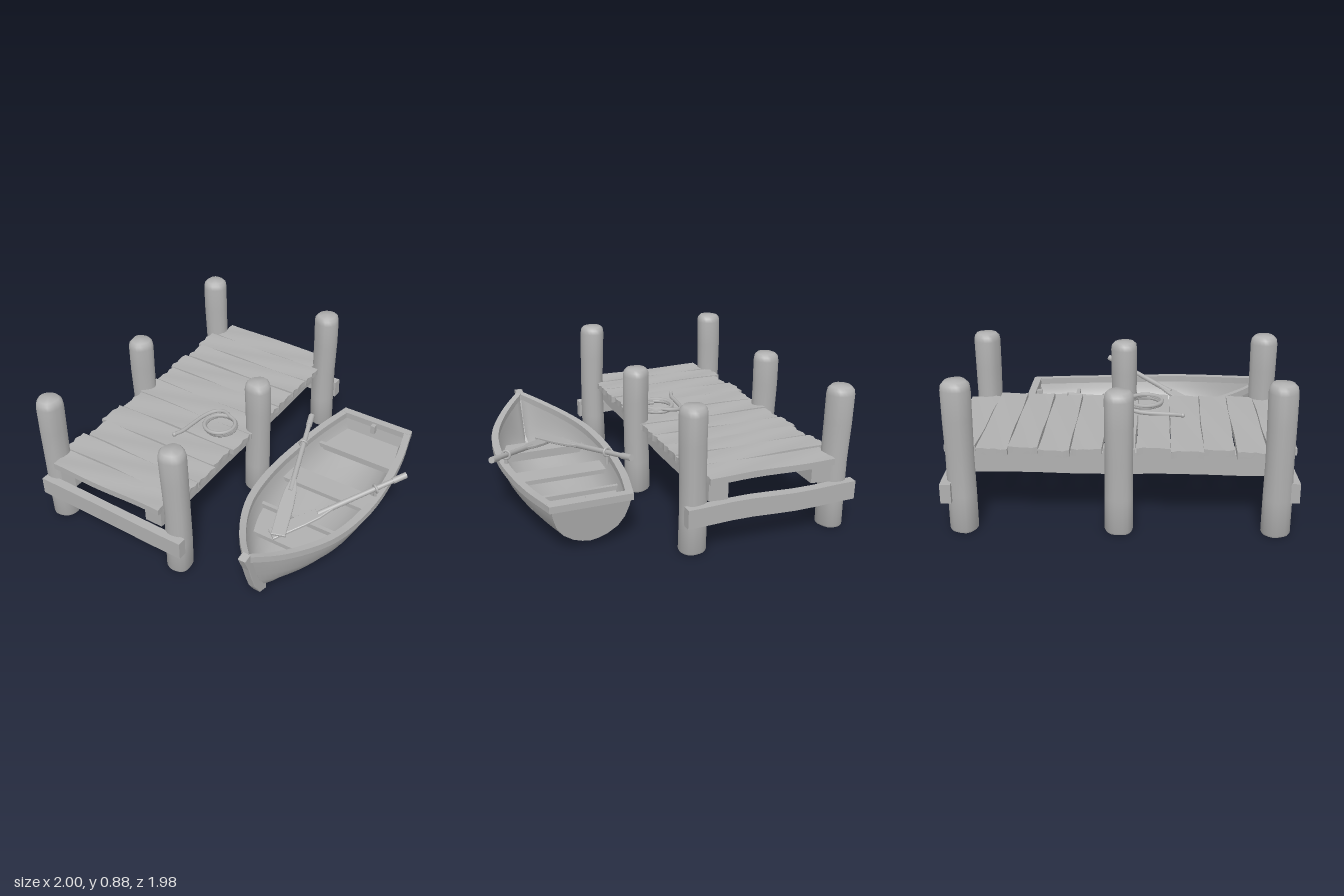
import * as THREE from 'three';
import { toCreasedNormals } from 'three/addons/utils/BufferGeometryUtils.js';

export function createModel() {
  const model = new THREE.Group();
  const grey = new THREE.MeshStandardMaterial({ color: 0xb0b0b0 });
  grey.name = 'weathered grey';

  const add = (parent, name, geo, x = 0, y = 0, z = 0) => {
    const m = new THREE.Mesh(geo, grey);
    m.name = name;
    m.position.set(x, y, z);
    parent.add(m);
    return m;
  };
  const group = (name) => {
    const g = new THREE.Group();
    g.name = name;
    model.add(g);
    return g;
  };
  let seed = 7;
  const rand = (a) => {
    seed = (seed * 16807) % 2147483647;
    return (seed / 2147483647 - 0.5) * 2 * a;
  };
  // Moves every vertex by a rule
  const warp = (geo, rule) => {
    const p = geo.attributes.position, v = new THREE.Vector3();
    for (let i = 0; i < p.count; i++) {
      rule(v.fromBufferAttribute(p, i));
      p.setXYZ(i, v.x, v.y, v.z);
    }
    geo.computeVertexNormals();
    return geo;
  };
  // Skins a row of closed cross-sections
  const loft = (rows, crease) => {
    const n = rows[0].length, index = [];
    for (let i = 0; i < rows.length - 1; i++) for (let j = 0; j < n; j++) {
      const a = i * n + j, b = i * n + (j + 1) % n;
      index.push(a, b, b + n, a, b + n, a + n);
    }
    const g = new THREE.BufferGeometry();
    g.setAttribute('position', new THREE.Float32BufferAttribute(rows.flat(2), 3));
    g.setIndex(index);
    return toCreasedNormals(g, crease);
  };

  // ---- Dock ----
  const dock = group('dock');

  // Round posts, slightly uneven
  const makePost = (x, z, h, phase) => {
    const prof = [[0, 0], [0.074, 0], [0.08, 0.012], [0.08, h * 0.25], [0.077, h * 0.5], [0.08, h * 0.75],
      [0.081, h - 0.05], [0.076, h - 0.02], [0.06, h - 0.003], [0, h]].map(([r, y]) => new THREE.Vector2(r, y));
    const geo = warp(new THREE.LatheGeometry(prof, 20), (v) => {
      const a = Math.atan2(v.z, v.x);
      const k = 1 + 0.035 * Math.sin(3 * a + phase + v.y * 2) + 0.025 * Math.sin(5 * a + phase * 2);
      v.x = v.x * k + 0.005 * Math.sin(v.y * 6 + phase);
      v.z *= k;
    });
    add(dock, 'post', toCreasedNormals(geo, 0.9), x, 0, z);
  };
  [[-0.87, 0.88], [0, 0.83], [0.87, 0.88]].forEach(([z, h], i) => {
    makePost(-0.905, z, h, i);
    makePost(0.012, z, h, i + 3.5);
  });

  // Deck planks with ragged ends and wavy edges
  const cuts = [-0.975, -0.79, -0.615, -0.445, -0.268, -0.088, 0.092, 0.282, 0.465, 0.642, 0.812, 0.975];
  for (let i = 0; i < cuts.length - 1; i++) {
    const outer = i === 0 || i === cuts.length - 2;
    const x0 = outer ? -0.84 : -0.88 + rand(0.025), x1 = outer ? -0.05 : 0 + rand(0.015);
    const d = cuts[i + 1] - cuts[i] - 0.006, ph = rand(3), skew = rand(0.006);
    const geo = warp(new THREE.BoxGeometry(x1 - x0, 0.04, d, 16, 1, 5), (v) => {
      const s = v.x / (x1 - x0), t = v.z / d;
      if (Math.abs(s) > 0.49) v.x += 0.007 * Math.sin(t * 13 + ph);
      v.z += skew * s * 2 + 0.004 * t * Math.sin(s * 9 + ph);
      v.y += 0.003 * Math.sin(s * 7 + t * 5 + ph);
    });
    add(dock, 'plank', geo, (x0 + x1) / 2, 0.456 + rand(0.004), (cuts[i] + cuts[i + 1]) / 2);
  }

  // Long beams below the deck and cross beams at both ends
  const beam = (name, w, h, d, x, y, z) => add(dock, name, warp(new THREE.BoxGeometry(w, h, d, 8, 2, 8), (v) => {
    v.y += 0.004 * Math.sin(v.x * 9 + v.z * 7);
    v.z += 0.004 * Math.sin(v.x * 8);
  }), x, y, z);
  beam('sideBeam', 0.12, 0.125, 1.86, -0.78, 0.377, 0);
  beam('sideBeam', 0.12, 0.125, 1.86, -0.12, 0.377, 0);
  beam('frontCrossBeam', 1.05, 0.115, 0.055, -0.425, 0.25, 0.958).rotation.z = -0.012;
  beam('backCrossBeam', 1.08, 0.115, 0.06, -0.455, 0.25, -0.95).rotation.z = 0.012;

  // Coiled rope with a loose tail
  const rope = [];
  for (let i = 0; i <= 60; i++) {
    const a = -i / 60 * Math.PI * 6 + Math.PI / 2, r = 0.098 + 0.014 * Math.sin(i * 0.33);
    rope.push(new THREE.Vector3(-0.2 + r * Math.cos(a), 0.49 + i * 0.0005, 0.13 + r * Math.sin(a)));
  }
  [[-0.24, 0.51, 0.012], [-0.3, 0.5, 0.03], [-0.34, 0.49, 0.1], [-0.355, 0.487, 0.2], [-0.365, 0.487, 0.3], [-0.385, 0.49, 0.36]]
    .forEach((p) => rope.push(new THREE.Vector3(...p)));
  rope.splice(50, 11);
  add(dock, 'rope', new THREE.TubeGeometry(new THREE.CatmullRomCurve3(rope), 180, 0.013, 7));
  add(dock, 'ropeEnd', new THREE.SphereGeometry(0.015, 8, 6), -0.385, 0.49, 0.36);

  // ---- Rowing boat ----
  const boat = group('boat');
  boat.position.x = 0.54;

  // Stations: z at rim, z at keel, half width, keel height, rim height
  const stations = [[-0.68, -0.63, 0.24, 0.04, 0.31], [-0.4, -0.38, 0.305, 0.02, 0.3], [-0.1, -0.1, 0.342, 0.012, 0.296],
    [0.15, 0.15, 0.348, 0.01, 0.302], [0.4, 0.4, 0.318, 0.015, 0.316], [0.6, 0.58, 0.25, 0.03, 0.336],
    [0.8, 0.74, 0.135, 0.045, 0.37], [0.95, 0.83, 0.012, 0.06, 0.41]];
  const curve = (f) => new THREE.CatmullRomCurve3(stations.map(f), false, 'catmullrom');
  const rimCurve = curve((s) => new THREE.Vector3(s[2], s[4], s[0]));
  const keelCurve = curve((s) => new THREE.Vector3(0, s[3], s[1]));
  const side = [[0, 0], [0.2, 0.03], [0.42, 0.1], [0.68, 0.26], [0.85, 0.48], [0.95, 0.75], [1, 1]];
  const profile = [...side.slice(1).reverse().map(([x, y]) => [-x, y]), ...side];

  const hullRows = [], rimRows = [[], []];
  for (let i = 0; i <= 32; i++) {
    const r = rimCurve.getPoint(i / 32), k = keelCurve.getPoint(i / 32);
    const section = (inset) => profile.map(([x, f]) => {
      const y0 = k.y + inset, w = Math.max(r.x - inset, 0.001);
      return [x * w, y0 + (r.y - y0) * f, k.z + (r.z - k.z) * f];
    });
    hullRows.push([...section(0), ...section(0.028).reverse()]);
    // Gunwale on each side
    [-1, 1].forEach((s, n) => {
      const e = [s * Math.max(r.x - 0.036, 0), s * (r.x + 0.01)].sort((a, b) => a - b);
      rimRows[n].push([[e[0], r.y - 0.03], [e[1], r.y - 0.03], [e[1], r.y + 0.012], [e[0], r.y + 0.012]]
        .map(([x, y]) => [x, y, r.z]));
    });
  }
  add(boat, 'hull', loft(hullRows, 0.7));
  rimRows.forEach((rows) => add(boat, 'gunwale', loft(rows, 0.6)));

  // Sloping transom with a cap rail and knee
  const s0 = stations[0];
  const transom = new THREE.ExtrudeGeometry(new THREE.Shape(profile.map(([x, f]) =>
    new THREE.Vector2(x * s0[2], s0[3] + (s0[4] - s0[3]) * f))), { depth: 0.035, bevelEnabled: false });
  add(boat, 'transom', warp(transom, (v) => { v.z += s0[1] - 0.004 - 0.05 * (v.y - s0[3]) / 0.27; }));
  add(boat, 'transomRail', new THREE.BoxGeometry(0.5, 0.042, 0.05), 0, 0.301, -0.663);
  add(boat, 'transomKnee', new THREE.BoxGeometry(0.03, 0.06, 0.04), 0, 0.28, -0.625);

  // Curved stem post, drawn from the side
  const outline = [[0.78, 0.03], [0.84, 0.05], [0.89, 0.13], [0.925, 0.23], [0.955, 0.33], [0.995, 0.425],
    [0.95, 0.435], [0.92, 0.35], [0.88, 0.22], [0.84, 0.13], [0.78, 0.07]];
  const stem = new THREE.ExtrudeGeometry(new THREE.Shape(outline.map((p) => new THREE.Vector2(...p))),
    { depth: 0.042, bevelEnabled: true, bevelSize: 0.004, bevelThickness: 0.004, bevelSegments: 1 });
  add(boat, 'stem', stem.translate(0, 0, -0.021).rotateY(-Math.PI / 2));

  // Bench seats: back z, half width there, front z, half width there, top height
  [[-0.645, 0.19, -0.37, 0.272, 0.2], [-0.085, 0.305, 0.06, 0.31, 0.21], [0.34, 0.285, 0.565, 0.2, 0.19]]
    .forEach(([za, wa, zb, wb, y]) => {
      const shape = new THREE.Shape([[-wa, za], [wa, za], [wb, zb], [-wb, zb]].map((p) => new THREE.Vector2(...p)));
      add(boat, 'seat', new THREE.ExtrudeGeometry(shape, { depth: 0.028, bevelEnabled: false }).rotateX(Math.PI / 2), 0, y, 0);
    });
  // Raised cross bars by the end seats
  add(boat, 'crossBar', new THREE.BoxGeometry(0.56, 0.03, 0.025), 0, 0.215, -0.365);
  add(boat, 'crossBar', new THREE.BoxGeometry(0.58, 0.03, 0.025), 0, 0.205, 0.345);

  // Oars, each with a lock on the rim
  const makeOar = (handle, tip, lock) => {
    const a = new THREE.Vector3(...handle), b = new THREE.Vector3(...tip), len = a.distanceTo(b);
    const oar = group('oar');
    oar.position.copy(a);
    oar.lookAt(b);
    add(oar, 'shaft', new THREE.CylinderGeometry(0.018, 0.015, len * 0.66, 10).rotateX(Math.PI / 2), 0, 0, len * 0.33);
    add(oar, 'grip', new THREE.CylinderGeometry(0.02, 0.02, 0.09, 10).rotateX(Math.PI / 2), 0, 0, 0.045);
    const half = [[0.014, len * 0.56], [0.034, len * 0.66], [0.041, len * 0.78], [0.04, len]];
    const blade = new THREE.Shape([...half, ...half.slice().reverse().map(([x, y]) => [-x, y])].map((p) => new THREE.Vector2(...p)));
    add(oar, 'blade', new THREE.ExtrudeGeometry(blade, { depth: 0.012, bevelEnabled: true, bevelSize: 0.004,
      bevelThickness: 0.004, bevelSegments: 1 }).rotateX(Math.PI / 2), 0, 0.006, 0);
    const [x, y, z] = lock;
    const ring = add(model, 'oarLock', new THREE.TorusGeometry(0.025, 0.008, 8, 16), x, y, z);
    ring.lookAt(b);
    add(model, 'oarLockPin', new THREE.CylinderGeometry(0.01, 0.012, 0.07, 8), x, y - 0.045, z);
  };
  makeOar([0.19, 0.4, -0.385], [0.5, 0.225, 0.545], [0.264, 0.355, -0.15]);
  makeOar([0.985, 0.415, -0.15], [0.45, 0.2, 0.54], [0.862, 0.365, 0.01]);

  return model;
}
